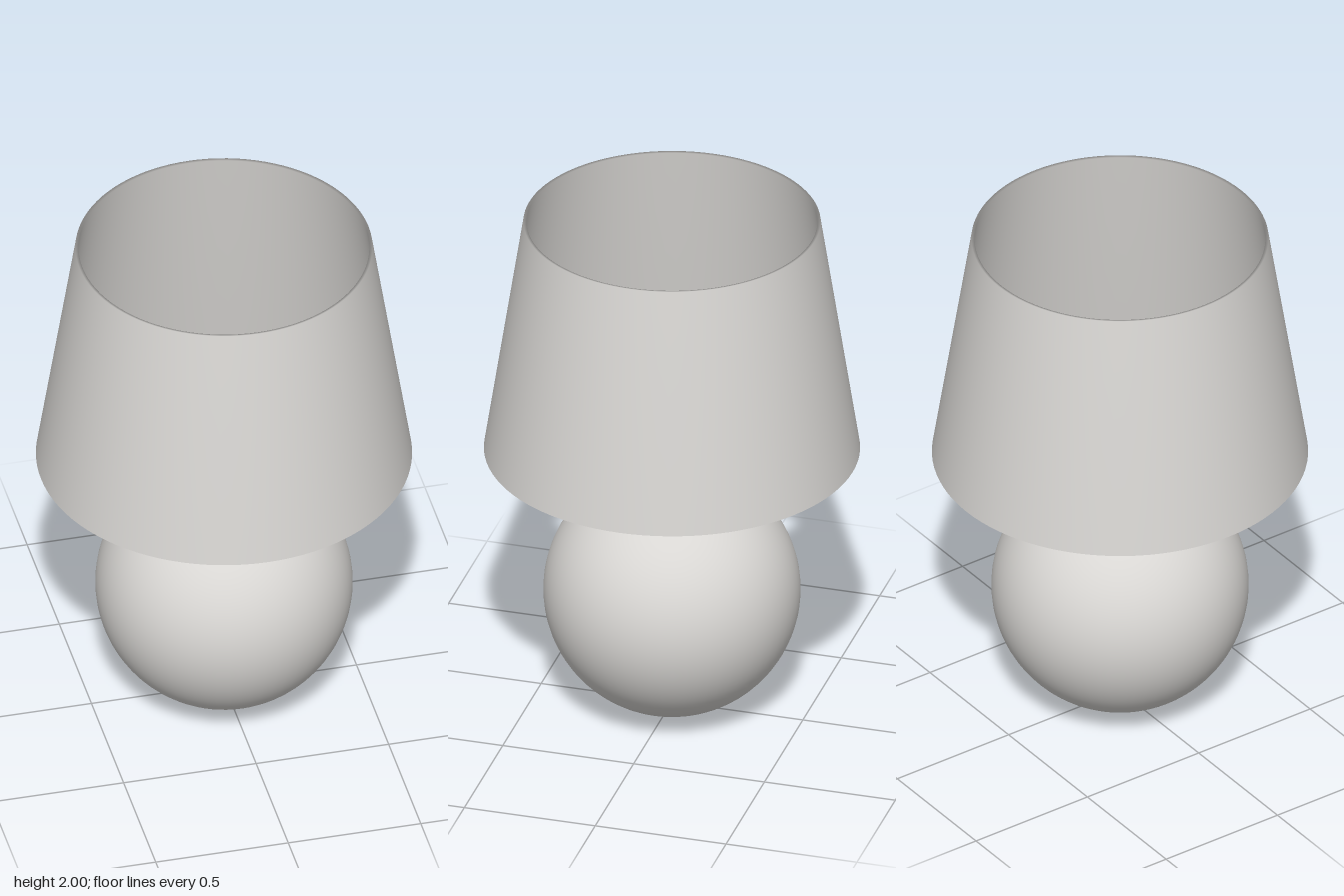
import * as THREE from 'three';

const ceramic = new THREE.MeshStandardMaterial({ name: 'warm light grey', color: 0xd8d6d3 });
const brass = new THREE.MeshStandardMaterial({ name: 'brass', color: 0xc4a062 });

function add(group, name, geometry, material, y = 0) {
  const mesh = new THREE.Mesh(geometry, material);
  mesh.name = name;
  mesh.position.y = y;
  group.add(mesh);
}

export function createModel() {
  const lamp = new THREE.Group();
  lamp.name = 'tableLamp';

  // Ball base
  const radius = 0.472;
  add(lamp, 'ballBase', new THREE.SphereGeometry(radius, 64, 48), ceramic, radius);

  // Stem rising from inside the ball into the shade
  const stemBottom = 0.9, stemTop = 1.28;
  add(lamp, 'stem', new THREE.CylinderGeometry(0.02, 0.02, stemTop - stemBottom, 32),
    brass, (stemBottom + stemTop) / 2);

  // Tapered thin-walled shade, open at both ends: closed wall section with softly shaded rims
  const wall = [
    [0.684, 1.061], [0.69, 1.06], [0.545, 2.0], [0.533, 1.998], [0.678, 1.062], [0.684, 1.061],
  ].map(([x, y]) => new THREE.Vector2(x, y));
  add(lamp, 'shade', new THREE.LatheGeometry(wall, 96), ceramic);

  return lamp;
}
